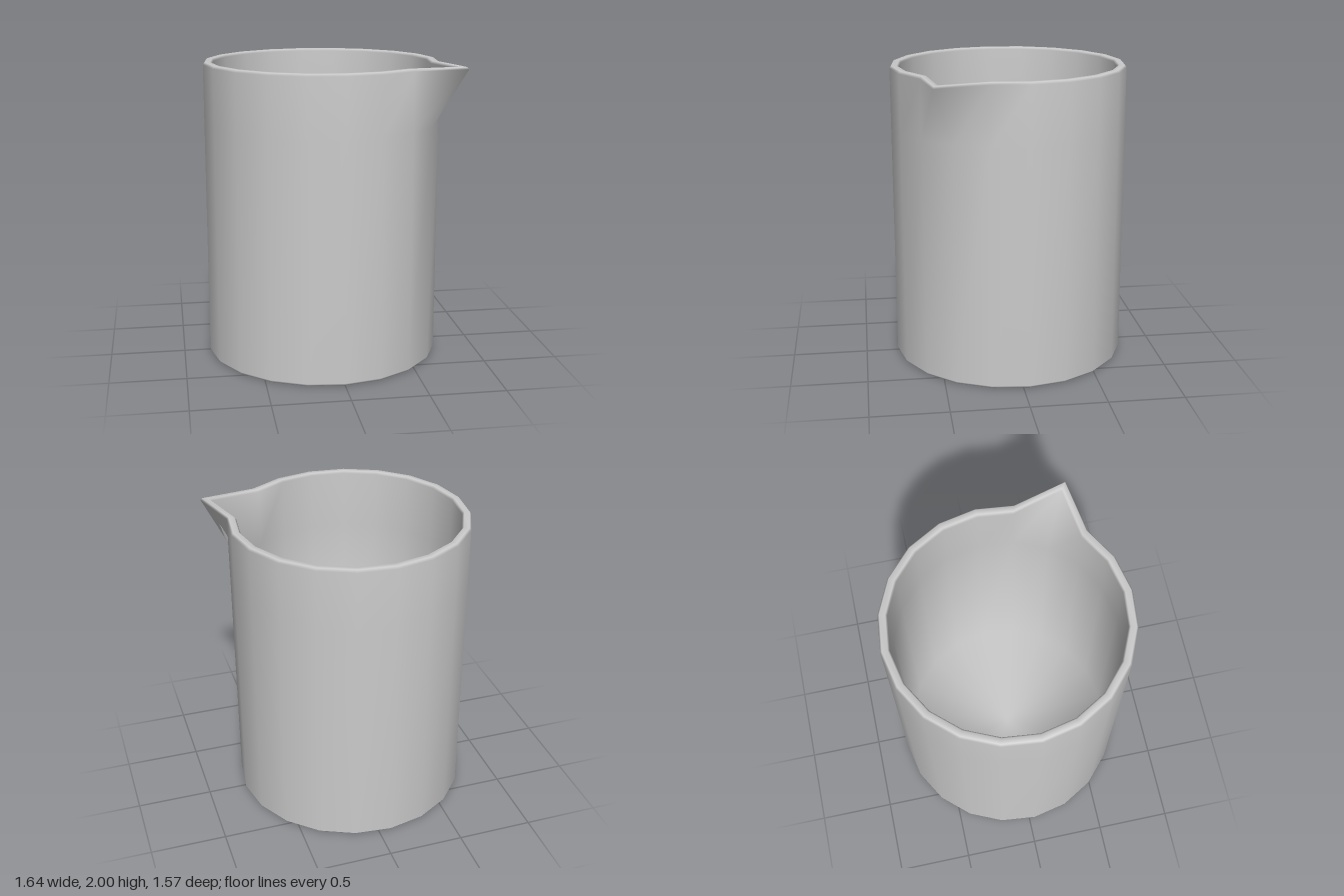
import * as THREE from 'three';

const SIDES = 20;
const SPOUT = 2; // index of the column pulled out into the spout
const START = THREE.MathUtils.degToRad(-3);
const CENTRE_X = -0.04;

// Wall profile from the underside, up the outside, over the rim, down the inside:
// [radius, height, extra radius at the spout column]
const PROFILE = [
  [0, 0, 0],
  [0.765, 0, 0],
  [0.785, 0.02, 0],
  [0.785, 1.6, 0],
  [0.785, 1.985, 0.235],
  [0.773, 2, 0.235],
  [0.737, 2, 0.225],
  [0.725, 1.985, 0.225],
  [0.725, 1.6, 0],
  [0.725, 0.06, 0],
  [0, 0.06, 0],
];

function beakerGeometry() {
  const positions = [];
  const indices = [];
  for (const [radius, y, pull] of PROFILE) {
    for (let i = 0; i < SIDES; i++) {
      const angle = START + (i / SIDES) * Math.PI * 2;
      const r = radius + (i === SPOUT ? pull : 0);
      positions.push(CENTRE_X + r * Math.cos(angle), y, r * Math.sin(angle));
    }
  }
  const last = PROFILE.length - 2;
  for (let j = 0; j <= last; j++) {
    for (let i = 0; i < SIDES; i++) {
      const next = (i + 1) % SIDES;
      const a = j * SIDES + i;
      const b = j * SIDES + next;
      const c = a + SIDES;
      const d = b + SIDES;
      // the first and last bands are fans around their centre
      if (j > 0) indices.push(a, c, b);
      if (j < last) indices.push(b, c, d);
    }
  }
  const geometry = new THREE.BufferGeometry();
  geometry.setAttribute('position', new THREE.Float32BufferAttribute(positions, 3));
  geometry.setIndex(indices);
  geometry.computeVertexNormals();
  return geometry;
}

export function createModel() {
  const group = new THREE.Group();
  group.name = 'beaker';
  const material = new THREE.MeshStandardMaterial({ color: 0xcccccc });

  // Hollow vessel with a pouring spout at the rim
  const vessel = new THREE.Mesh(beakerGeometry(), material);
  vessel.name = 'vesselWithSpout';
  group.add(vessel);
  return group;
}
